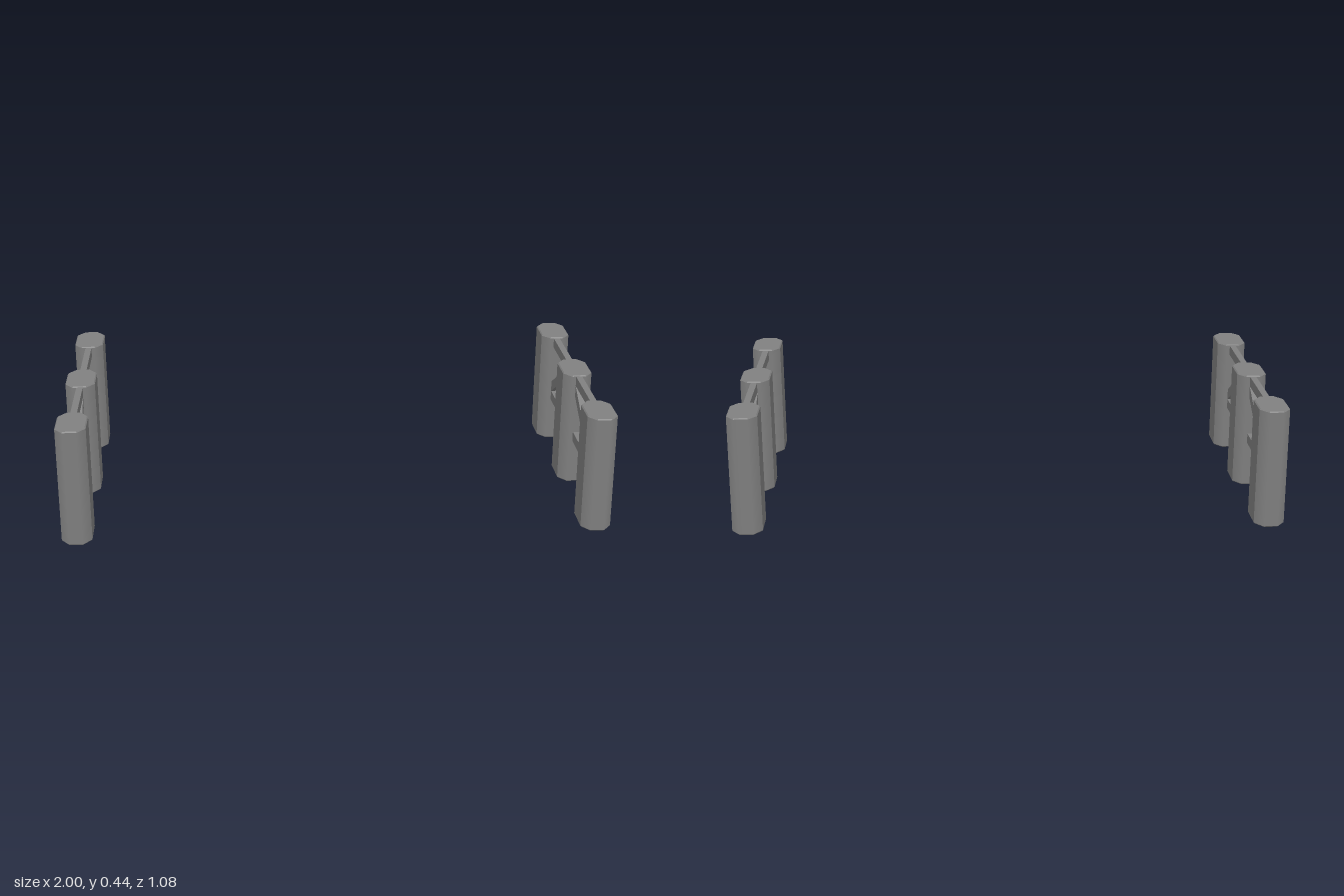
import * as THREE from 'three';

const HEIGHT = 0.44, COLUMN_X = 0.945, COLUMN_Z = 0.444;
const HALF_W = 0.055, HALF_D = 0.094; // column half width (x) and depth (z)
const FLAT_X = 0.026, FLAT_Z = 0.056; // half lengths of the unchamfered faces
const BEVEL = 0.004; // fine bevel round the top and bottom

// Eight-sided column: sharp along the long sides, softly shaded round each end
function columnGeometry() {
  const shape = new THREE.Shape([
    [HALF_W, -FLAT_Z], [HALF_W, FLAT_Z], [FLAT_X, HALF_D], [-FLAT_X, HALF_D],
    [-HALF_W, FLAT_Z], [-HALF_W, -FLAT_Z], [-FLAT_X, -HALF_D], [FLAT_X, -HALF_D],
  ].map(([x, y]) => new THREE.Vector2(x, y)));
  const geo = new THREE.ExtrudeGeometry(shape, {
    depth: HEIGHT - 2 * BEVEL, bevelThickness: BEVEL, bevelSize: BEVEL,
    bevelOffset: -BEVEL, bevelSegments: 1,
  });
  geo.rotateX(-Math.PI / 2);
  geo.translate(0, BEVEL, 0);
  const pos = geo.attributes.position, nor = geo.attributes.normal;
  const n = new THREE.Vector3();
  for (let i = 0; i < pos.count; i++) {
    n.fromBufferAttribute(nor, i);
    const onEnd = Math.abs(n.y) < 0.3 && Math.abs(n.z) > 0.3;
    if (onEnd && Math.abs(pos.getX(i)) < HALF_W - 0.01) {
      n.set(Math.sign(pos.getX(i)) * 0.45, 0, Math.sign(pos.getZ(i)) * 0.89).normalize();
      nor.setXYZ(i, n.x, n.y, n.z);
    }
  }
  return geo;
}

export function createModel() {
  const model = new THREE.Group();
  model.name = 'pairedColumnFrames';
  const material = new THREE.MeshStandardMaterial({ color: 0x808080 });
  const column = columnGeometry();

  function add(parent, name, geometry, y, z) {
    const mesh = new THREE.Mesh(geometry, material);
    mesh.name = name;
    mesh.position.set(0, y, z);
    parent.add(mesh);
    return mesh;
  }

  const rail = new THREE.BoxGeometry(0.024, 0.037, COLUMN_Z - 0.1);
  const brace = new THREE.BoxGeometry(0.024, 0.037, 0.36);

  for (const side of [-1, 1]) {
    const frame = new THREE.Group();
    frame.name = side > 0 ? 'leftFrame' : 'rightFrame';
    frame.position.x = side * COLUMN_X;
    model.add(frame);

    for (const [name, k] of [['backColumn', -1], ['middleColumn', 0], ['frontColumn', 1]]) {
      add(frame, name, column, 0, k * COLUMN_Z);
    }

    // Two rails and a brace falling outwards from the middle column
    for (const [end, k] of [['back', -1], ['front', 1]]) {
      const z = k * COLUMN_Z / 2;
      add(frame, end + 'TopRail', rail, 0.417, z);
      add(frame, end + 'LowerRail', rail, 0.19, z);
      add(frame, end + 'Brace', brace, 0.303, z).rotation.x = k * Math.PI / 6;
    }
  }
  return model;
}
